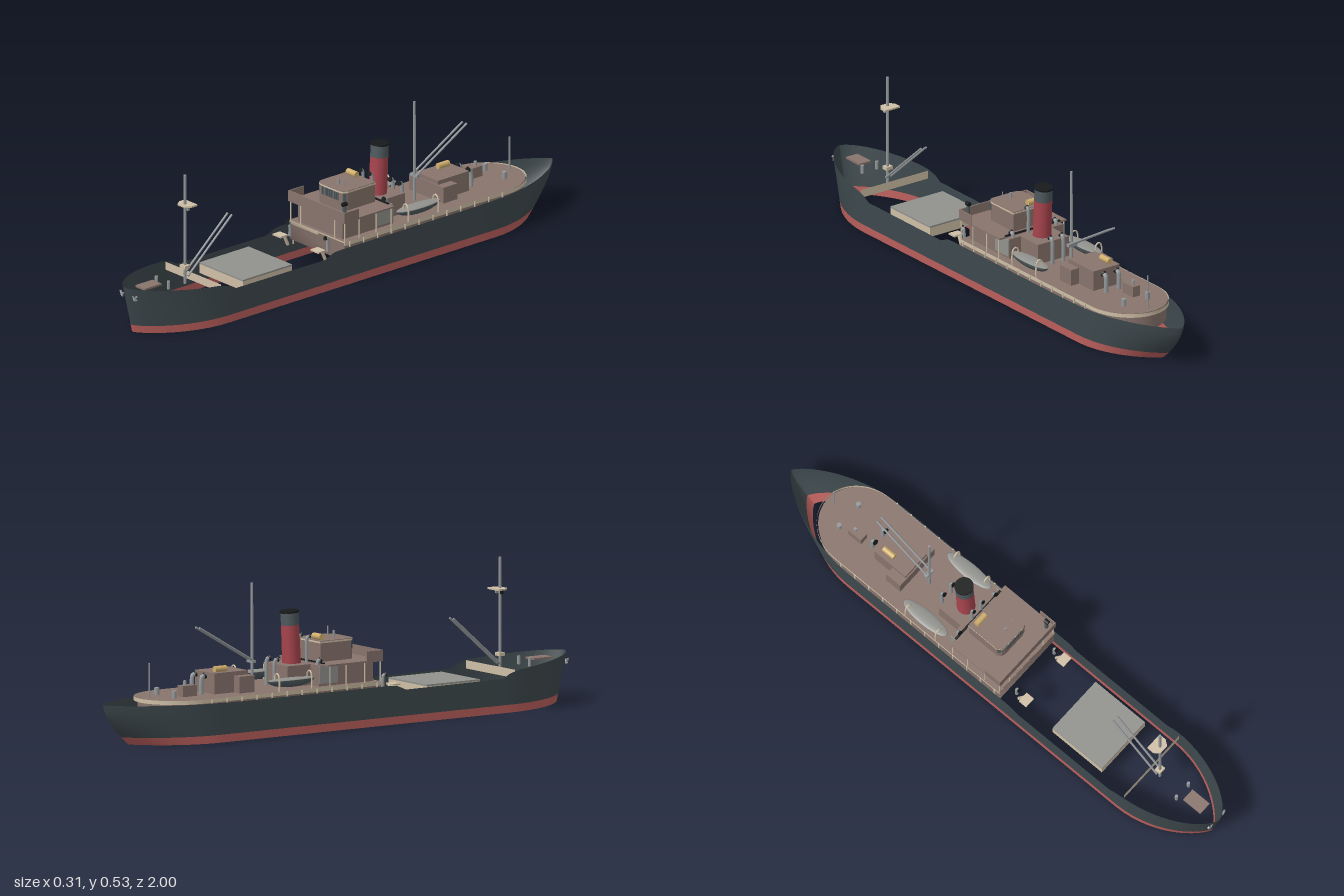
import * as THREE from 'three';

const mat = (name, color, side = THREE.FrontSide) => {
  const m = new THREE.MeshStandardMaterial({ color, side });
  m.name = name;
  return m;
};

export function createModel() {
  const D = THREE.DoubleSide;
  const hullDark = mat('hull slate', 0x3d484c, D), hullRed = mat('hull red', 0xb85e5b, D);
  const brown = mat('brown', 0x88746d, D), beige = mat('beige', 0xcfbfa6, D);
  const grey = mat('grey', 0x91928d), steel = mat('steel', 0x94989a), slate = mat('dark slate', 0x4f5a5e);
  const red = mat('funnel red', 0xa8444d), black = mat('black', 0x17191a, D), tan = mat('canvas', 0xcfad6c);
  const ship = new THREE.Group();
  ship.name = 'cargoShip';

  const add = (name, geo, m, x = 0, y = 0, z = 0) => {
    const mesh = new THREE.Mesh(geo, m);
    mesh.name = name;
    mesh.position.set(x, y, z);
    ship.add(mesh);
    return mesh;
  };
  // box given by its x, y and z ranges
  const box = (name, m, x0, x1, y0, y1, z0, z1) =>
    add(name, new THREE.BoxGeometry(x1 - x0, y1 - y0, z1 - z0), m, (x0 + x1) / 2, (y0 + y1) / 2, (z0 + z1) / 2);
  // round bar between two points
  const rod = (name, m, a, b, r, r2 = r, sides = 10) => {
    const p = new THREE.Vector3(...a), q = new THREE.Vector3(...b), d = q.clone().sub(p);
    const mesh = add(name, new THREE.CylinderGeometry(r2, r, d.length(), sides), m);
    mesh.position.copy(p).add(q).multiplyScalar(0.5);
    mesh.quaternion.setFromUnitVectors(new THREE.Vector3(0, 1, 0), d.normalize());
    return mesh;
  };
  // bent round pipe through points
  const pipe = (name, m, pts, r, x = 0, z = 0) =>
    add(name, new THREE.TubeGeometry(new THREE.CatmullRomCurve3(pts.map(p => new THREE.Vector3(...p))), 14, r, 10), m, x, 0, z);
  // sheet through rows of points of equal length
  const sheet = (name, m, rows) => {
    const n = rows[0].length, idx = [];
    for (let j = 0; j + 1 < rows.length; j++)
      for (let i = 0; i + 1 < n; i++) {
        const a = j * n + i, b = a + n;
        idx.push(a, a + 1, b, a + 1, b + 1, b);
      }
    const g = new THREE.BufferGeometry();
    g.setAttribute('position', new THREE.Float32BufferAttribute(rows.flat(2), 3));
    g.setIndex(idx);
    g.computeVertexNormals();
    return add(name, g, m);
  };
  // flat plate from an outline of [x, z], going down from the top height
  const plate = (name, m, pts, top, depth) => {
    const s = new THREE.Shape(pts.map(p => new THREE.Vector2(p[0], p[1])));
    const g = new THREE.ExtrudeGeometry(s, { depth, bevelEnabled: false });
    g.rotateX(Math.PI / 2);
    return add(name, g, m, 0, top, 0);
  };

  // Hull: open shell with flared raking bow and cut-away stern
  const sheer = [[1, 0.175], [0.8, 0.158], [0.67, 0.147], [0.645, 0.136], [0.62, 0.122], [0.2, 0.12],
    [0.16, 0.137], [0.13, 0.139], [-0.5, 0.139], [-1, 0.147]];
  const sheerAt = z => {
    for (let i = 0; i + 1 < sheer.length; i++) {
      const [a, ya] = sheer[i], [b, yb] = sheer[i + 1];
      if (z >= b) return ya + (yb - ya) * (a - z) / (a - b);
    }
    return 0.147;
  };
  const stations = [];
  for (let i = 0; i <= 16; i++) stations.push(1 - 0.35 * (i / 16) ** 2);
  stations.push(0.62, 0.4, 0.2, 0.16, 0.13, -0.2, -0.5);
  for (let i = 16; i >= 0; i--) stations.push(-1 + 0.4 * (i / 16) ** 2);
  const hullPoint = (zt, y, side) => {
    let x = 0.157, z = zt;
    if (zt > 0.65) {
      const t = (1 - zt) / 0.35, f = Math.min(1, y / 0.175);
      x *= (1 - (1 - t) ** 2) ** (0.78 - 0.13 * f);
      z = 0.65 + (zt - 0.65) / 0.35 * (0.313 + 0.037 * f);
    } else if (zt < -0.6) {
      const t = (1 + zt) / 0.4;
      x *= (1 - (1 - t) ** 2) ** 0.8;
      const end = -1 + 0.11 * Math.max(0, 1 - y / 0.147) ** 1.6;
      z = -0.6 + (zt + 0.6) / 0.4 * (-0.6 - end);
    }
    return [x * side, y, z];
  };
  const ring = yOf => [...stations.map(z => hullPoint(z, yOf(z), 1)),
    ...stations.slice(0, -1).reverse().map(z => hullPoint(z, yOf(z), -1))];
  sheet('bottomPaint', hullRed, [0, 0.014, 0.028].map(y => ring(() => y)));
  sheet('hullSides', hullDark, [0, 0.2, 0.4, 0.6, 0.8, 1].map(f => ring(z => 0.028 + (sheerAt(z) - 0.028) * f)));

  // After deck with rounded stern, skirt, pale rim and stanchions
  const deck = [[0.147, 0.1]];
  for (let i = 0; i <= 24; i++) {
    const a = Math.PI * i / 24;
    deck.push([0.147 * Math.cos(a), -0.66 - 0.17 * Math.sin(a)]);
  }
  deck.push([-0.147, 0.1]);
  const ribbon = (name, m, k, y0, y1) =>
    sheet(name, m, [y0, y1].map(y => [...deck, deck[0]].map(p => [p[0] * k, y, p[1] * (p[1] < 0 ? k : 1)])));
  plate('afterDeck', brown, deck, 0.156, 0.005);
  ribbon('deckSkirt', brown, 0.99, 0.085, 0.152);
  ribbon('deckRim', beige, 1.008, 0.143, 0.157);
  for (const s of [-1, 1])
    for (let i = 0; i < 12; i++) {
      const z = 0.08 - i * 0.065;
      rod('stanchion', beige, [s * 0.15, 0.06, z], [s * 0.15, 0.155, z], 0.003, 0.003, 6);
    }

  // Cargo hatch and forecastle break
  box('hatchCoaming', beige, -0.115, 0.115, 0.082, 0.116, 0.32, 0.55);
  box('hatchCover', grey, -0.115, 0.115, 0.116, 0.122, 0.32, 0.55);
  box('hatchUnderside', brown, -0.11, 0.11, 0.078, 0.082, 0.325, 0.545);
  sheet('forecastleBeam', beige, [0.118, 0.148].map(y => [[-0.147, y, 0.68], [0.147, y, 0.68]]));

  // Bow fittings
  box('windlassPlate', brown, -0.025, 0.025, 0.153, 0.16, 0.85, 0.93);
  for (const s of [-1, 1]) {
    rod('bowBollard', steel, [s * 0.032, 0.135, 0.825], [s * 0.032, 0.165, 0.825], 0.006);
    const x = s * 0.035;
    rod('anchorShank', steel, [x + s * 0.008, 0.15, 0.984], [x - s * 0.003, 0.133, 0.984], 0.004);
    rod('anchorFluke', steel, [x - s * 0.003, 0.132, 0.984], [x - s * 0.01, 0.148, 0.986], 0.004, 0.002);
    rod('anchorFluke', steel, [x - s * 0.003, 0.132, 0.984], [x + s * 0.009, 0.136, 0.982], 0.004, 0.002);
  }

  // Masts with derrick booms
  rod('foremast', steel, [0, 0.12, 0.72], [0, 0.528, 0.72], 0.0055, 0.005);
  box('foremastFoot', beige, -0.014, 0.014, 0.178, 0.19, 0.708, 0.732);
  plate('lookoutPlatform', beige, [[-0.033, 0.69], [0.033, 0.69], [0.033, 0.718], [0.018, 0.738], [-0.018, 0.738], [-0.033, 0.718]], 0.419, 0.006);
  for (const s of [-1, 1]) {
    box('mastLamp', s < 0 ? black : grey, s * 0.015 - 0.004, s * 0.015 + 0.004, 0.398, 0.412, 0.712, 0.722);
    rod('foreBoom', steel, [s * 0.011, 0.15, 0.715], [s * 0.011, 0.328, 0.51], 0.004);
    rod('aftBoom', steel, [s * 0.011, 0.255, -0.36], [s * 0.011, 0.388, -0.59], 0.004);
  }
  rod('mainmast', steel, [0, 0.155, -0.355], [0, 0.528, -0.355], 0.0055, 0.0045);
  box('boomCrosstree', steel, -0.018, 0.018, 0.245, 0.255, -0.365, -0.35);
  rod('sternFlagpole', steel, [0, 0.155, -0.8], [0, 0.28, -0.8], 0.003);

  // Bridge house, bridge deck and bulwark
  box('bridgeHouse', brown, -0.118, 0.118, 0.156, 0.23, -0.15, 0.085);
  box('bridgeDeck', brown, -0.147, 0.147, 0.228, 0.234, -0.13, 0.103);
  box('frontBulwark', brown, -0.149, 0.149, 0.228, 0.268, 0.1, 0.105);
  box('deckEdge', black, -0.12, 0.12, 0.234, 0.238, -0.132, -0.124);
  for (const s of [-1, 1]) {
    const x = s * 0.147;
    box('sideBulwark', brown, x - 0.002, x + 0.002, 0.228, 0.268, 0.035, 0.105);
    box('sideScreen', grey, s * 0.1195 - 0.002, s * 0.1195 + 0.002, 0.165, 0.228, -0.15, -0.07);
    for (const z of [0.098, 0.03, -0.05, -0.12]) rod('bridgePost', beige, [s * 0.143, 0.156, z], [s * 0.143, 0.23, z], 0.0025);
    rod('frontPost', beige, [s * 0.09, 0.156, 0.098], [s * 0.09, 0.23, 0.098], 0.0025);
  }
  const house = k => [[-0.07, -0.108], [0.07, -0.108], [0.07, 0.02], [0.06, 0.036], [0.045, 0.04],
    [-0.045, 0.04], [-0.06, 0.036], [-0.07, 0.02]].map(p => [p[0] * k, p[1] * k]);
  plate('wheelhouse', brown, house(1), 0.302, 0.07);
  plate('wheelhouseEave', beige, house(1.03), 0.306, 0.006);
  plate('wheelhouseRoof', brown, house(1.025), 0.308, 0.003);
  for (let i = 0; i < 10; i++) {
    const x = -0.0405 + i * 0.009;
    box('frontWindow', slate, x - 0.003, x + 0.003, 0.27, 0.299, 0.038, 0.042);
  }
  for (const s of [-1, 1]) {
    const w = box('cornerWindow', slate, s * 0.0655 - 0.006, s * 0.0655 + 0.006, 0.27, 0.299, 0.0265, 0.0305);
    w.rotation.y = s * 1.01;
  }
  rod('roofCanvas', tan, [-0.053, 0.319, -0.09], [-0.005, 0.319, -0.09], 0.011, 0.011, 14);
  rod('roofPole', steel, [0.036, 0.3, 0], [0.036, 0.342, 0], 0.002);
  rod('compassStand', steel, [0, 0.306, 0], [0, 0.33, 0], 0.004);
  rod('lampStand', slate, [0.125, 0.232, 0.082], [0.125, 0.284, 0.082], 0.007);
  rod('signalLamp', black, [0.125, 0.29, 0.074], [0.125, 0.29, 0.092], 0.008);

  // Funnel and its casing
  box('funnelCasing', brown, -0.068, 0.068, 0.156, 0.23, -0.25, -0.12);
  rod('funnelLower', red, [0, 0.225, -0.183], [0, 0.366, -0.19], 0.033, 0.032, 28);
  rod('funnelUpper', slate, [0, 0.366, -0.19], [0, 0.41, -0.1925], 0.032, 0.032, 28);
  rod('funnelRim', black, [0, 0.41, -0.1925], [0, 0.416, -0.193], 0.034, 0.034, 28);

  // Cowl ventilators facing forward
  const vent = (x, z, y0, y1, r) => {
    pipe('ventPipe', steel, [[0, y0, 0], [0, y1 - 3 * r, 0], [0, y1 - r, r * 0.4], [0, y1 - r * 0.6, r * 1.6]], r, x, z);
    rod('ventMouth', black, [x, y1 - r * 0.7, z + r * 1.3], [x, y1 - r * 0.5, z + r * 2], r * 1.1, r * 1.4, 12);
  };
  for (const s of [-1, 1]) {
    vent(s * 0.1, 0.14, 0.12, 0.175, 0.006);
    box('stepPlate', beige, s * 0.1 - 0.021, s * 0.1 + 0.021, 0.132, 0.138, 0.168, 0.202);
    rod('stepLeg', beige, [s * 0.1, 0.09, 0.15], [s * 0.1, 0.135, 0.17], 0.006);
    vent(s * 0.095, -0.14, 0.156, 0.25, 0.007);
    vent(s * 0.024, -0.275, 0.156, 0.255, 0.007);
    vent(s * 0.024, -0.135, 0.22, 0.325, 0.006);
    vent(s * 0.028, -0.595, 0.156, 0.225, 0.008);
    rod('sternBollard', steel, [s * 0.052, 0.156, -0.73], [s * 0.052, 0.182, -0.73], 0.009);
  }

  // Lifeboats with covers and davits
  for (const s of [-1, 1]) {
    const x = s * 0.117;
    const hullGeo = new THREE.SphereGeometry(1, 24, 8, 0, Math.PI * 2, Math.PI / 2, Math.PI / 2).scale(0.027, 0.027, 0.1);
    add('lifeboatHull', hullGeo, slate, x, 0.192, -0.27);
    const cover = new THREE.SphereGeometry(1, 24, 6, 0, Math.PI * 2, 0, Math.PI / 2).scale(0.028, 0.006, 0.101);
    add('lifeboatCover', cover, grey, x, 0.192, -0.27);
    for (const z of [-0.34, -0.2])
      pipe('davit', beige, [[0.144, 0.156], [0.144, 0.195], [0.139, 0.214], [0.129, 0.219], [0.119, 0.212], [0.117, 0.196]]
        .map(p => [s * p[0], p[1], z]), 0.003);
  }

  // Aft deckhouses and gear
  box('aftHouseWide', brown, -0.092, 0.092, 0.156, 0.215, -0.475, -0.41);
  box('aftHouse', brown, -0.058, 0.058, 0.156, 0.23, -0.56, -0.415);
  rod('aftCanvas', tan, [-0.03, 0.24, -0.54], [-0.03, 0.24, -0.49], 0.011, 0.011, 14);
  box('sternLocker', brown, -0.05, -0.018, 0.156, 0.195, -0.69, -0.63);
  rod('lockerPipe', steel, [-0.034, 0.19, -0.67], [-0.034, 0.212, -0.67], 0.006);
  return ship;
}
